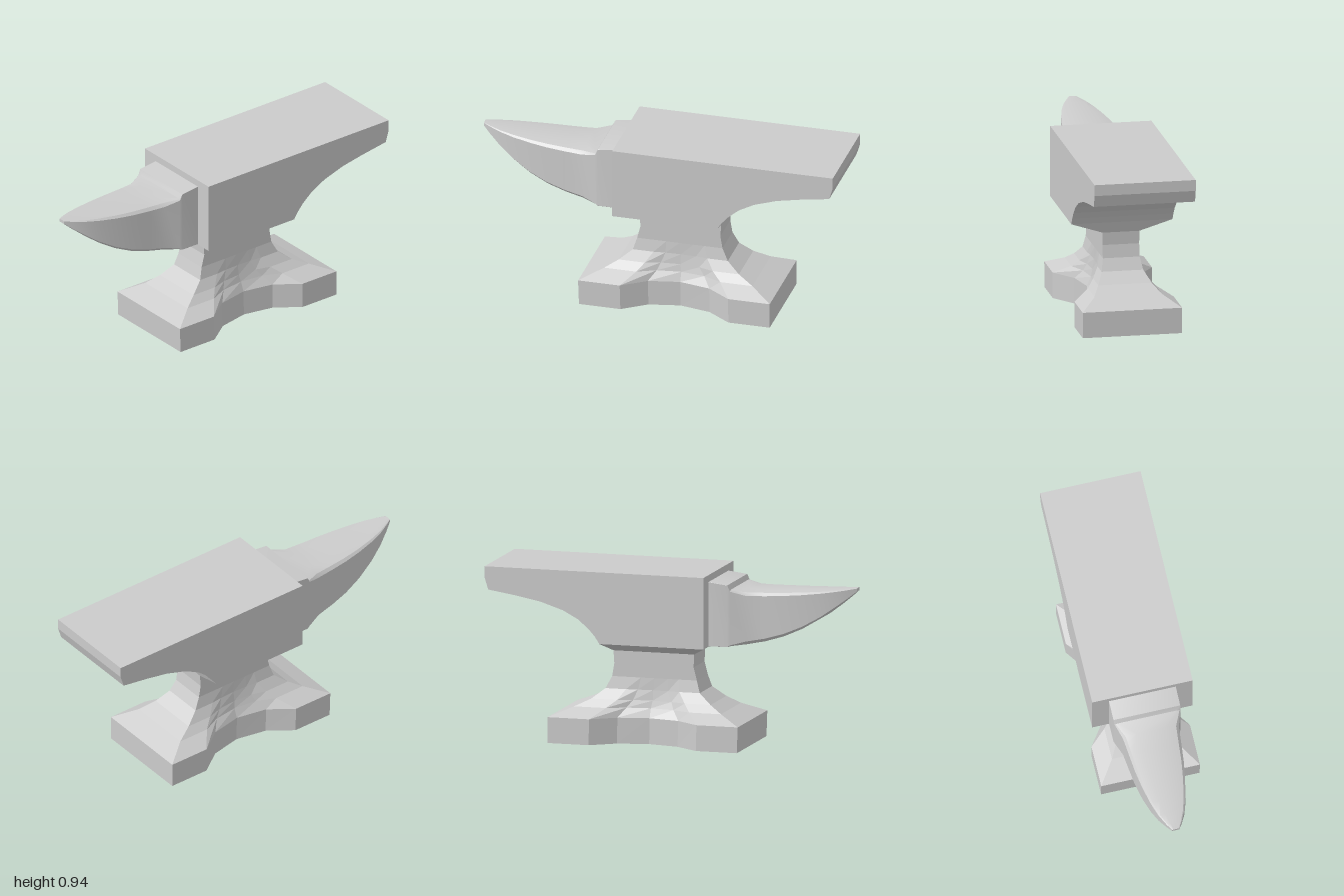
import * as THREE from 'three';
import { toCreasedNormals } from 'three/addons/utils/BufferGeometryUtils.js';

// Skin a series of equal-length rings of [x, y, z] points and cap both ends.
function loft(rings) {
  const pos = [];
  const tri = (a, b, c) => pos.push(...a, ...b, ...c);
  const n = rings[0].length;
  for (let r = 0; r < rings.length - 1; r++) {
    for (let i = 0; i < n; i++) {
      const j = (i + 1) % n, lo = rings[r], hi = rings[r + 1];
      tri(lo[i], lo[j], hi[j]);
      tri(lo[i], hi[j], hi[i]);
    }
  }
  const cap = (ring, flip) => {
    const mid = [0, 1, 2].map(k => ring.reduce((s, p) => s + p[k], 0) / n);
    for (let i = 0; i < n; i++) {
      const a = ring[i], b = ring[(i + 1) % n];
      if (flip) tri(mid, b, a); else tri(mid, a, b);
    }
  };
  cap(rings[0], true);
  cap(rings[rings.length - 1], false);
  const g = new THREE.BufferGeometry();
  g.setAttribute('position', new THREE.Float32BufferAttribute(pos, 3));
  g.computeVertexNormals();
  return g;
}

// Waisted front edge: [fraction along x, inward notch depth]
const waist = [[0, 0], [0.217, 0], [0.34, 0.093], [0.5, 0.127], [0.66, 0.093], [0.783, 0], [1, 0]];

// Horizontal ring; the notch fades out as the section narrows to the neck.
function footRing([y, x0, x1, depth], notched = true) {
  const front = waist.map(([t, inset]) => {
    const k = notched ? (depth - 0.1) / 0.17 : 0;
    return [x0 + (x1 - x0) * t, y, depth - inset * k];
  });
  return [...front, ...front.map(([x, yy, z]) => [x, yy, -z]).reverse()];
}

// Upright ring of the horn: flat sides with softened top and bottom corners.
function hornRing([x, top, bottom, w, soft]) {
  const h = top - bottom;
  const side = [
    [1 - 0.12 * soft, bottom],
    [1, bottom + 0.06 * h * soft],
    [1, top - 0.1 * h * soft],
    [1 - 0.1 * soft, top - 0.04 * h * soft],
    [1 - 0.5 * soft, top],
  ].map(([k, y]) => [x, y, k * w]);
  return [...side, ...side.map(([xx, y, z]) => [xx, y, -z]).reverse()];
}

export function createModel() {
  const group = new THREE.Group();
  const flat = new THREE.MeshStandardMaterial({ color: 0xcccccc, flatShading: true });
  const smooth = new THREE.MeshStandardMaterial({ color: 0xcccccc });
  const add = (name, geometry, material) => {
    const mesh = new THREE.Mesh(geometry, material);
    mesh.name = name;
    group.add(mesh);
  };

  // Foot and neck: [y, left x, right x, half depth]
  const foot = [
    [0, -0.405, 0.65, 0.27],
    [0.14, -0.41, 0.65, 0.27],
    [0.19, -0.29, 0.53, 0.183],
    [0.23, -0.22, 0.445, 0.145],
    [0.285, -0.15, 0.375, 0.113],
    [0.35, -0.13, 0.342, 0.1],
    [0.42, -0.112, 0.33, 0.1],
    [0.49, -0.115, 0.335, 0.1],
  ];
  add('footAndNeck', loft(foot.map(s => footRing(s))), flat);

  // Sloped underside widening from the neck to the body
  const underside = [[0.49, -0.115, 0.335, 0.1], [0.552, -0.22, 0.36, 0.275]];
  add('underside', loft(underside.map(s => footRing(s, false))), flat);

  // Body with flat face and curved heel
  const profile = [
    [-0.22, 0.552], [0.36, 0.552], [0.385, 0.59], [0.42, 0.63], [0.48, 0.68], [0.565, 0.725],
    [0.69, 0.765], [0.82, 0.79], [0.98, 0.815], [1, 0.88], [1, 0.94], [-0.22, 0.94],
  ];
  const body = new THREE.ExtrudeGeometry(
    new THREE.Shape(profile.map(p => new THREE.Vector2(...p))),
    { depth: 0.55, bevelEnabled: false });
  body.translate(0, 0, -0.275);
  add('body', body, flat);

  // Step block and horn: [x, top, bottom, half width, corner softness]
  const horn = [
    [-0.2, 0.905, 0.555, 0.183, 0.03],
    [-0.325, 0.89, 0.555, 0.183, 0.03],
    [-0.34, 0.865, 0.56, 0.18, 0.3],
    [-0.42, 0.862, 0.568, 0.153, 1],
    [-0.52, 0.862, 0.588, 0.143, 1],
    [-0.62, 0.864, 0.618, 0.133, 1],
    [-0.72, 0.867, 0.662, 0.117, 1],
    [-0.82, 0.871, 0.722, 0.095, 1],
    [-0.9, 0.875, 0.782, 0.07, 1],
    [-0.96, 0.879, 0.83, 0.042, 1],
    [-1, 0.882, 0.865, 0.02, 1],
  ];
  add('horn', toCreasedNormals(loft(horn.map(hornRing)), 0.5), smooth);

  return group;
}
